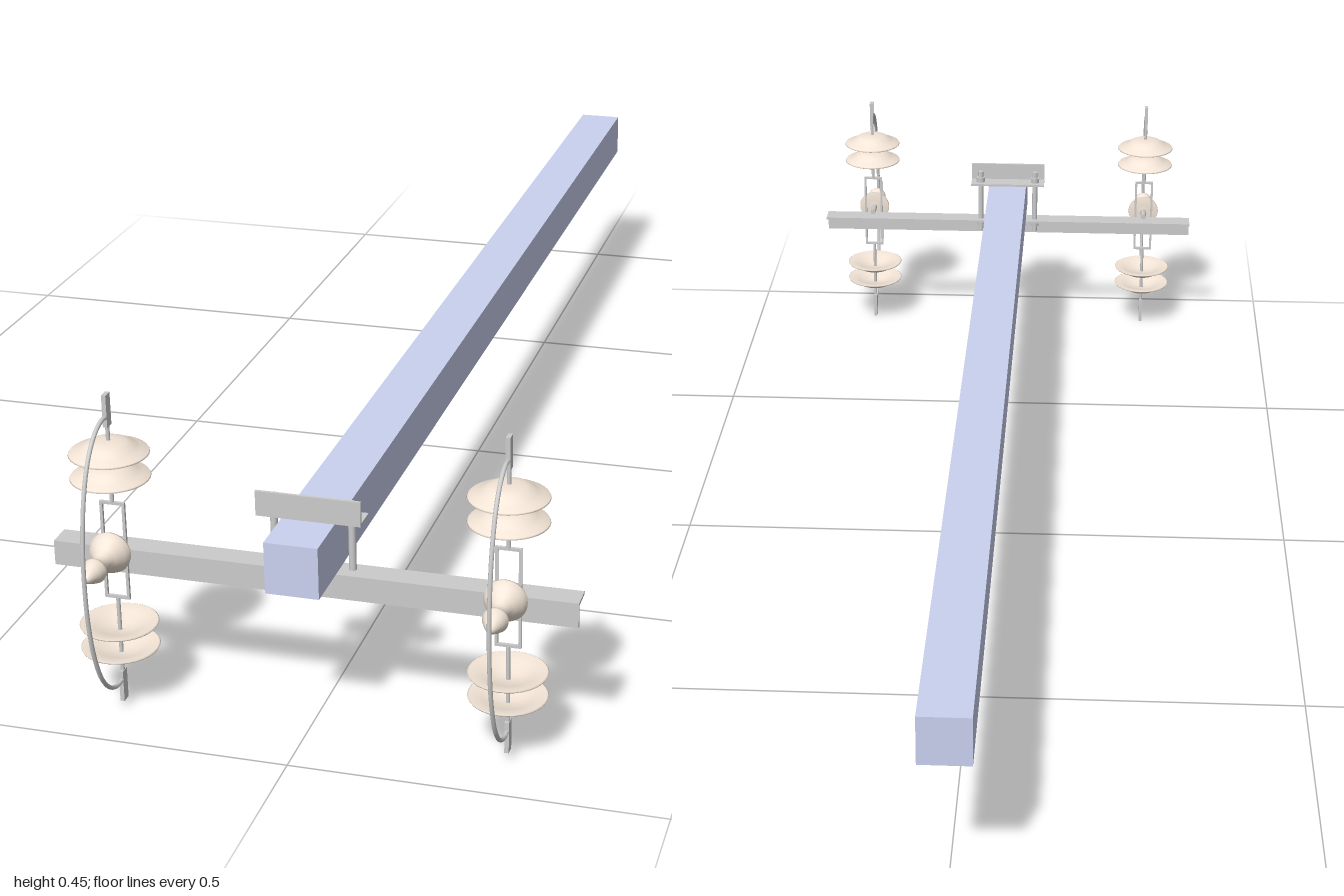
import * as THREE from 'three';

const grey = new THREE.MeshStandardMaterial({ color: 0xcccccc, side: THREE.DoubleSide });
const beamMat = new THREE.MeshStandardMaterial({ color: 0xcad1f0 });
const ceramic = new THREE.MeshStandardMaterial({ color: 0xf2e4d6, side: THREE.DoubleSide });

function add(parent, name, geometry, material, x = 0, y = 0, z = 0) {
  const mesh = new THREE.Mesh(geometry, material);
  mesh.name = name;
  mesh.position.set(x, y, z);
  parent.add(mesh);
  return mesh;
}
const box = (w, h, d) => new THREE.BoxGeometry(w, h, d);
const cylinder = (r, h, n = 16) => new THREE.CylinderGeometry(r, r, h, n);
const lathe = (pts) => new THREE.LatheGeometry(pts.map(([r, y]) => new THREE.Vector2(r, y)), 32);

// L-section bar along x: an upright web at the front and a flange running back
function angleBar(name, length, size, t, flangeOnTop) {
  const f = flangeOnTop ? size : 0;
  const g = flangeOnTop ? size - t : t;
  const other = flangeOnTop ? 0 : size;
  // shape x is depth behind the front face
  const shape = new THREE.Shape([
    [0, f], [size, f], [size, g], [t, g], [t, other], [0, other],
  ].map(([a, b]) => new THREE.Vector2(a, b)));
  const geometry = new THREE.ExtrudeGeometry(shape, { depth: length, bevelEnabled: false });
  geometry.translate(0, 0, -length / 2).rotateY(Math.PI / 2);
  const mesh = new THREE.Mesh(geometry, grey);
  mesh.name = name;
  return mesh;
}

// Dished ceramic shed, rim at y = 0 and crown above
const shedGeometry = lathe([
  [0.003, 0.012], [0.02, 0.01], [0.034, 0.003], [0.051, 0], [0.053, 0.001],
  [0.052, 0.003], [0.043, 0.006], [0.036, 0.010], [0.029, 0.015],
  [0.022, 0.018], [0.012, 0.0195], [0.003, 0.0195],
]);

// Half of an insulator string, running upwards from its middle
function halfString() {
  const half = new THREE.Group();
  for (const y of [0.106, 0.140]) add(half, 'insulatorShed', shedGeometry, ceramic, 0, y, 0);
  add(half, 'stringRod', cylinder(0.0028, 0.132), grey, 0, 0.136, 0);
  add(half, 'endBar', box(0.006, 0.045, 0.014), grey, 0, 0.202, 0);
  // half of the link frame
  for (const s of [-1, 1]) add(half, 'linkSide', box(0.004, 0.071, 0.004), grey, s * 0.0155, 0.0355, 0);
  add(half, 'linkEnd', box(0.035, 0.004, 0.004), grey, 0, 0.069, 0);
  return half;
}

function insulatorAssembly() {
  const group = new THREE.Group();
  const upper = halfString();
  upper.name = 'upperString';
  const lower = halfString();
  lower.name = 'lowerString';
  lower.rotation.z = Math.PI;
  group.add(upper, lower);

  // bowed conductor joining both ends of the string
  const bow = new THREE.CatmullRomCurve3([
    [0.193, 0], [0.193, 0.022], [0.182, 0.045], [0.155, 0.069], [0.11, 0.088], [0.055, 0.099],
    [0, 0.102], [-0.055, 0.099], [-0.11, 0.088], [-0.155, 0.069], [-0.182, 0.045],
    [-0.193, 0.022], [-0.193, 0],
  ].map(([y, z]) => new THREE.Vector3(0, y, z)));
  add(group, 'jumperWire', new THREE.TubeGeometry(bow, 60, 0.003, 10), grey);

  // forward-facing post insulator with a wide skirt and a smaller head
  const post = lathe([
    [0, 0.012], [0.012, 0.014], [0.028, 0.013], [0.029, 0.017], [0.025, 0.026],
    [0.017, 0.037], [0.011, 0.046], [0.01, 0.059], [0.016, 0.065],
    [0.017, 0.071], [0.013, 0.081], [0.008, 0.091], [0.004, 0.097], [0, 0.098],
  ]).rotateX(Math.PI / 2);
  add(group, 'postInsulator', post, ceramic, 0, 0.004, 0);
  add(group, 'postStem', cylinder(0.005, 0.036).rotateX(Math.PI / 2), grey, 0, 0.004, 0);
  return group;
}

export function createModel() {
  const model = new THREE.Group();
  model.name = 'crossarmAssembly';

  // long square post
  add(model, 'beam', box(0.072, 0.072, 1.96), beamMat, 0, 0.261, -0.02);

  // angle bars clamped below and above the beam
  const arm = angleBar('crossArm', 0.714, 0.035, 0.004, true);
  arm.position.set(0, 0.19, 0.889);
  const clamp = angleBar('clampBar', 0.142, 0.035, 0.004, false);
  clamp.position.set(0, 0.297, 0.889);
  model.add(arm, clamp);

  for (const s of [-1, 1]) {
    // clamp bolts with nuts
    const bolt = new THREE.Group();
    bolt.name = 'clampBolt';
    bolt.position.set(s * 0.053, 0.261, 0.869);
    add(bolt, 'boltShank', cylinder(0.005, 0.122), grey);
    for (const y of [-0.045, 0.045]) add(bolt, 'boltNut', cylinder(0.009, 0.009, 6), grey, 0, y, 0);
    model.add(bolt);

    // insulator strings near both ends of the arm
    const set = insulatorAssembly();
    set.name = s > 0 ? 'leftInsulators' : 'rightInsulators';
    set.position.set(s * 0.267, 0.2255, 0.895);
    model.add(set);
  }
  return model;
}
